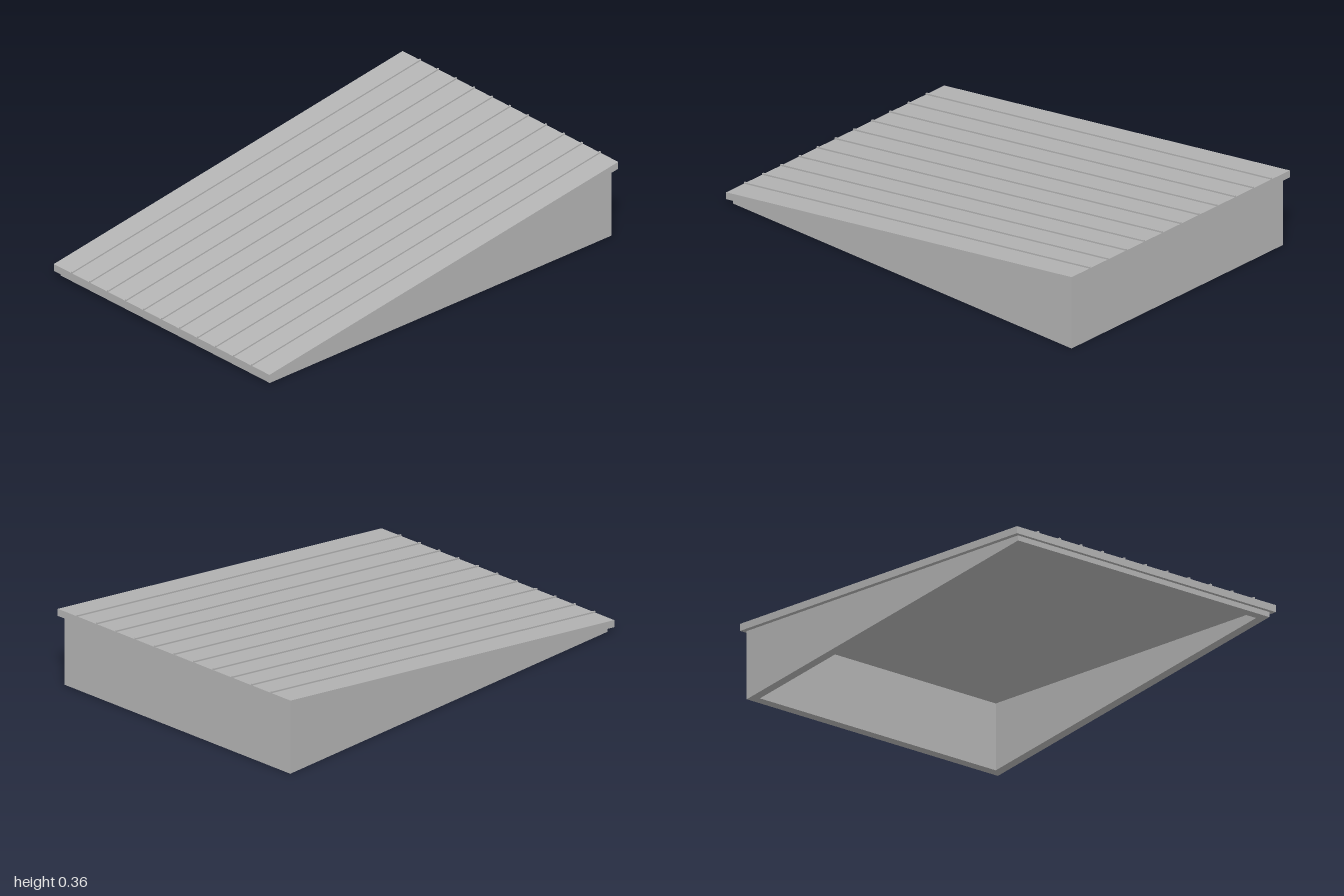
import * as THREE from 'three';

const HALF_W = 0.675, WALL_X = 0.655, WALL_Z = 0.98, WALL_T = 0.04;
const SLAB_T = 0.033, RIB_H = 0.007, RIB_W = 0.007, RIBS = 11;

// height of the sloping slab's underside at depth z
const slope = (z) => 0.171 - 0.15 * z;

export function createModel() {
  const model = new THREE.Group();
  model.name = 'ramp';
  const grey = new THREE.MeshStandardMaterial({ color: 0xb4b4b4 });
  grey.name = 'grey';

  // side profile between z0 and z1, extruded across x
  function prism(name, z0, z1, bottom, top, x, width) {
    const shape = new THREE.Shape([
      new THREE.Vector2(-z0, bottom(z0)), new THREE.Vector2(-z1, bottom(z1)),
      new THREE.Vector2(-z1, top(z1)), new THREE.Vector2(-z0, top(z0)),
    ]);
    const geo = new THREE.ExtrudeGeometry(shape, { depth: width, bevelEnabled: false });
    geo.translate(0, 0, -width / 2).rotateY(Math.PI / 2).translate(x, 0, 0);
    const mesh = new THREE.Mesh(geo, grey);
    mesh.name = name;
    model.add(mesh);
  }

  const ground = () => 0;
  const slabTop = (z) => slope(z) + SLAB_T;

  // sloping deck
  prism('deck', 1, -1, slope, slabTop, 0, HALF_W * 2);

  // raised strips running up the deck
  const step = (HALF_W * 2) / (RIBS + 1);
  for (let i = 1; i <= RIBS; i++) {
    prism('strip' + i, 1, -1, slabTop, (z) => slabTop(z) + RIB_H, -HALF_W + i * step, RIB_W);
  }

  // hollow base: two wedge sides, low front wall, tall back wall
  const sideX = WALL_X - WALL_T / 2, innerW = 2 * (WALL_X - WALL_T);
  prism('leftWall', WALL_Z, -WALL_Z, ground, slope, sideX, WALL_T);
  prism('rightWall', WALL_Z, -WALL_Z, ground, slope, -sideX, WALL_T);
  prism('frontWall', WALL_Z, WALL_Z - WALL_T, ground, slope, 0, innerW);
  prism('backWall', -WALL_Z + WALL_T, -WALL_Z, ground, slope, 0, innerW);

  return model;
}
